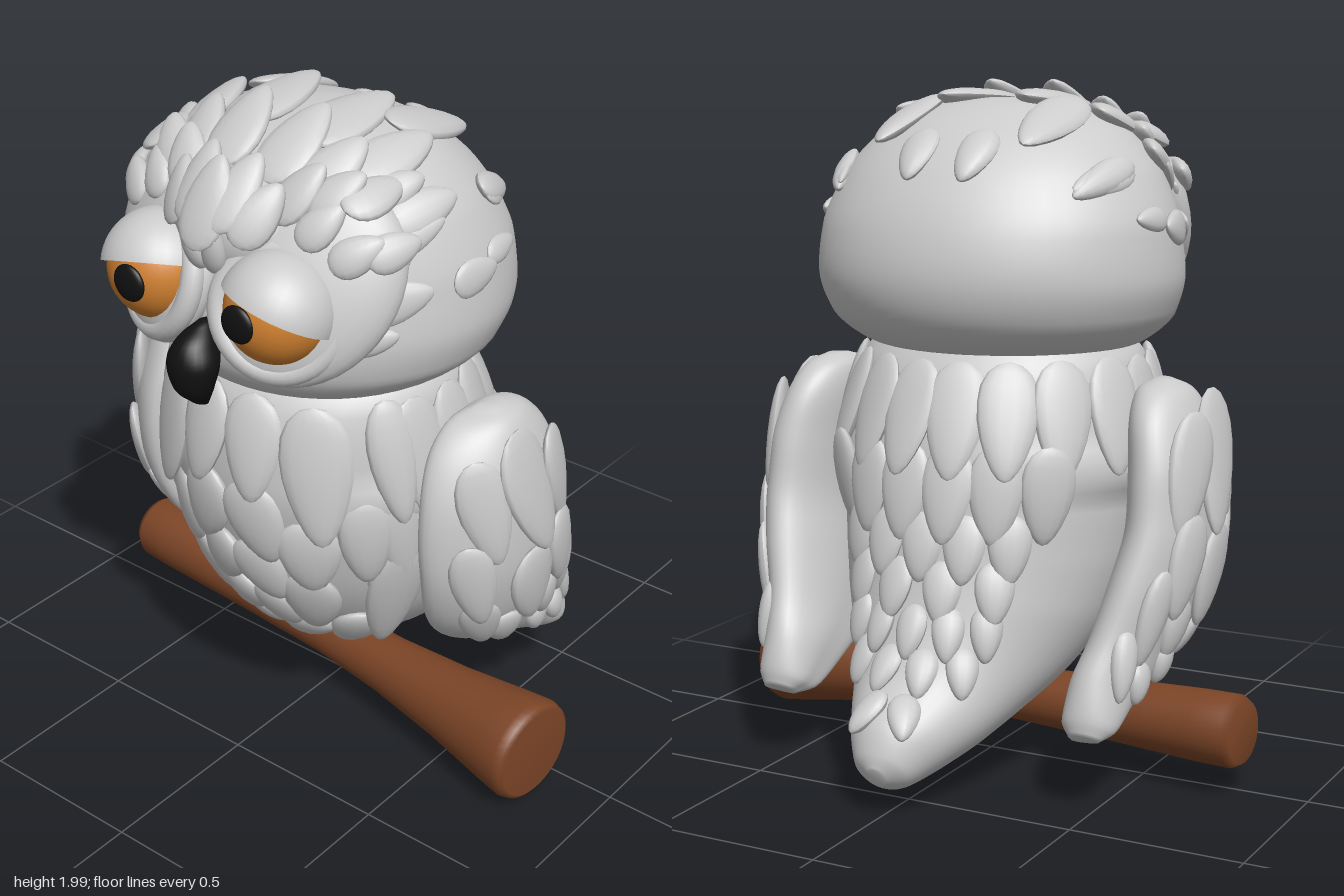
import * as THREE from 'three';

const grey = new THREE.MeshStandardMaterial({ color: 0xcccccc });
const brown = new THREE.MeshStandardMaterial({ color: 0x7c4527 });
const orange = new THREE.MeshStandardMaterial({ color: 0xd08030 });
const black = new THREE.MeshStandardMaterial({ color: 0x111111 });
const V = (x, y, z) => new THREE.Vector3(x, y, z);

function part(name, geometry, material, parent) {
  const mesh = new THREE.Mesh(geometry, material);
  mesh.name = name;
  parent.add(mesh);
  return mesh;
}

// Smooth skin through tilted oval sections, listed from top to bottom:
// [front z, front y, back z, back y, centre x, half width]; bend curls the front edge sideways
function loft(sections, steps = 40, sides = 40, bend = 0) {
  const front = new THREE.CatmullRomCurve3(sections.map(s => V(0, s[1], s[0])));
  const back = new THREE.CatmullRomCurve3(sections.map(s => V(0, s[3], s[2])));
  const wide = new THREE.CatmullRomCurve3(sections.map(s => V(s[4], s[5], 0)));
  const pos = [], idx = [];
  for (let i = -1; i <= steps + 1; i++) {
    const t = THREE.MathUtils.clamp(i / steps, 0, 1);
    const k = i < 0 || i > steps ? 0 : 1; // end rings close to a point
    const f = front.getPoint(t), b = back.getPoint(t), w = wide.getPoint(t);
    for (let j = 0; j < sides; j++) {
      const a = j / sides * Math.PI * 2, c = Math.cos(a) * k / 2;
      pos.push(w.x + Math.sin(a) * w.y * k + bend * w.y * 4 * c * Math.max(c, 0),
        (f.y + b.y) / 2 + c * (f.y - b.y), (f.z + b.z) / 2 + c * (f.z - b.z));
    }
  }
  for (let i = 0; i < steps + 2; i++) for (let j = 0; j < sides; j++) {
    const a = i * sides + j, b = i * sides + (j + 1) % sides;
    idx.push(a, a + sides, b, b, a + sides, b + sides);
  }
  const g = new THREE.BufferGeometry();
  g.setAttribute('position', new THREE.Float32BufferAttribute(pos, 3));
  g.setIndex(idx);
  g.computeVertexNormals();
  return g;
}

// Teardrop feather, tip towards +y
const featherGeo = new THREE.SphereGeometry(1, 14, 10);
{
  const p = featherGeo.attributes.position;
  for (let i = 0; i < p.count; i++) p.setX(i, p.getX(i) * (1 - 0.3 * p.getY(i)));
  featherGeo.computeVertexNormals();
}

// Lay a feather where a ray meets the skin, tip following a direction
const ray = new THREE.Raycaster();
function feather(parent, skins, from, to, tip, hl, hw, lift = 0.08, thick = 0.028) {
  ray.set(from, to.clone().sub(from).normalize());
  const hit = ray.intersectObjects(skins, false)[0];
  if (!hit) return;
  const n = hit.face.normal.clone();
  const d = tip.clone().addScaledVector(n, -tip.dot(n)).normalize();
  const c = Math.cos(lift), s = Math.sin(lift);
  const dir = d.clone().multiplyScalar(c).addScaledVector(n, s);
  const up = n.clone().multiplyScalar(c).addScaledVector(d, -s);
  const m = part('feather', featherGeo, grey, parent);
  m.quaternion.setFromRotationMatrix(new THREE.Matrix4().makeBasis(dir.clone().cross(up), dir, up));
  m.position.copy(hit.point).addScaledVector(n, hl * s * 0.6);
  m.scale.set(hw, hl, thick);
}

export function createModel() {
  const owl = new THREE.Group();
  owl.name = 'owlOnBranch';

  // Branch, thicker at its left end
  const profile = [[0, -0.825], [0.09, -0.825], [0.105, -0.80], [0.104, -0.7], [0.09, -0.35], [0.08, 0],
    [0.09, 0.25], [0.115, 0.5], [0.148, 0.72], [0.157, 0.79], [0.15, 0.815], [0.135, 0.825], [0, 0.825]];
  const branch = part('branch', new THREE.LatheGeometry(profile.map(p => new THREE.Vector2(...p)), 40), brown, owl);
  branch.position.set(0, 0.18, 0.048);
  branch.quaternion.setFromUnitVectors(V(0, 1, 0), V(1.64, -0.03, 0.175).normalize());

  // Body running down into the tail
  const body = part('body', loft([
    [0.30, 1.33, -0.20, 1.33, 0, 0.30], [0.46, 1.22, -0.30, 1.20, 0, 0.42],
    [0.51, 1.00, -0.37, 1.02, 0, 0.455], [0.49, 0.80, -0.40, 0.85, 0, 0.455],
    [0.42, 0.58, -0.42, 0.70, 0, 0.43], [0.30, 0.40, -0.45, 0.58, 0, 0.385],
    [0.14, 0.27, -0.49, 0.47, 0, 0.32], [-0.10, 0.18, -0.54, 0.38, 0, 0.25],
    [-0.32, 0.115, -0.60, 0.32, 0, 0.19], [-0.50, 0.08, -0.66, 0.27, 0, 0.13],
    [-0.61, 0.075, -0.69, 0.20, 0, 0.08], [-0.665, 0.10, -0.695, 0.155, 0, 0.025]], 66), grey, owl);

  const bodyFeathers = new THREE.Group();
  bodyFeathers.name = 'bodyFeathers';
  owl.add(bodyFeathers);
  // Breast, from the front: [x, y, half length, half width, sideways lean of the tip]
  const breast = [[0.085, 1.08, 0.16, 0.085, 0], [0.26, 1.02, 0.21, 0.10, 0], [0.40, 1.05, 0.19, 0.07, 0],
    [0.09, 0.84, 0.14, 0.09, 0.25], [0.22, 0.74, 0.13, 0.09, 0], [0.35, 0.80, 0.15, 0.08, -0.1],
    [0.07, 0.65, 0.12, 0.08, 0.35], [0.35, 0.56, 0.22, 0.085, -0.3], [0.18, 0.54, 0.14, 0.085, -0.1],
    [0.06, 0.48, 0.10, 0.075, 0.2], [0.08, 0.37, 0.09, 0.08, -0.4], [0.21, 0.38, 0.12, 0.075, -0.5]];
  for (const s of [1, -1]) for (const [x, y, hl, hw, lean] of breast)
    feather(bodyFeathers, [body], V(s * x, y, 2), V(s * x, y, 0), V(s * lean, -1, -0.15), hl, hw, 0.05, 0.035);
  // Sides and back in rows: [y, count, half length, half width, middle angle, half spread]
  const rows = [[1.07, 8, 0.17, 0.085, Math.PI, 1.4], [0.87, 6, 0.14, 0.075, Math.PI, 0.85],
    [0.72, 5, 0.10, 0.06, Math.PI, 0.6], [0.60, 4, 0.09, 0.055, Math.PI, 0.5], [0.49, 5, 0.08, 0.045, Math.PI, 0.45],
    [0.39, 4, 0.075, 0.045, Math.PI, 0.32], [0.29, 2, 0.075, 0.045, Math.PI, 0.09]];
  for (const s of [1, -1])
    rows.push([1.04, 2, 0.19, 0.085, s * 1.3, 0.15], [0.78, 2, 0.17, 0.07, s * 1.2, 0.15], [0.60, 2, 0.16, 0.085, s * 1.25, 0.2]);
  for (const [y, n, hl, hw, mid, spread] of rows) for (let i = 0; i < n; i++) {
    const a = mid + spread * (2 * i / (n - 1) - 1);
    feather(bodyFeathers, [body], V(2 * Math.sin(a), y, 2 * Math.cos(a)), V(0, y, 0), V(0, -1, -0.15),
      hl, hw, 0.06 + (i % 2) * 0.04);
  }

  // Head
  const head = part('head', loft([
    [0.11, 1.945, 0.02, 1.945, 0, 0.04], [0.24, 1.925, -0.06, 1.925, 0, 0.20],
    [0.39, 1.86, -0.20, 1.86, 0, 0.36], [0.48, 1.75, -0.32, 1.75, 0, 0.465],
    [0.52, 1.60, -0.405, 1.60, 0, 0.53], [0.55, 1.45, -0.43, 1.45, 0, 0.545],
    [0.54, 1.33, -0.39, 1.33, 0, 0.51], [0.48, 1.25, -0.29, 1.25, 0, 0.41],
    [0.38, 1.225, -0.15, 1.225, 0, 0.28]], 48, 48), grey, owl);
  const skins = [head];
  const ball = (r) => new THREE.SphereGeometry(r, 32, 20);
  skins.push(part('forehead', ball(1).scale(0.2, 0.15, 0.14).translate(0, 1.71, 0.43), grey, owl));

  // Facial discs, eyes and heavy lids
  for (const s of [1, -1]) {
    const side = s > 0 ? 'left' : 'right';
    const discGeo = ball(1).scale(0.235, 0.295, 0.1);
    discGeo.rotateZ(-s * 0.6).rotateX(-0.38).rotateY(s * 0.42).translate(s * 0.24, 1.60, 0.43);
    skins.push(part(side + 'FacialDisc', discGeo, grey, owl));
    const ring = part(side + 'EyeRing', new THREE.TorusGeometry(0.165, 0.033, 14, 40), grey, owl);
    ring.position.set(s * 0.205, 1.545, 0.515);
    ring.rotation.set(-0.3, s * 0.35, 0);
    const eye = part(side + 'Eye', ball(0.145), orange, owl);
    eye.position.set(s * 0.208, 1.555, 0.52);
    const pupil = part(side + 'Pupil', ball(0.053), black, owl);
    pupil.position.set(s * 0.19, 1.56, 0.66);
    pupil.scale.z = 0.35;
    const lidMat = grey.clone();
    lidMat.side = THREE.DoubleSide;
    const lid = part(side + 'Eyelid', new THREE.SphereGeometry(0.162, 32, 14, 0, Math.PI * 2, 0, Math.PI / 2), lidMat, owl);
    lid.position.copy(eye.position);
    lid.rotation.set(-0.42, 0, -s * 0.22);
  }

  // Beak
  part('beak', loft([
    [0.60, 1.48, 0.56, 1.48, 0, 0.015], [0.67, 1.44, 0.55, 1.44, 0, 0.05],
    [0.695, 1.38, 0.56, 1.37, 0, 0.075], [0.68, 1.30, 0.58, 1.30, 0, 0.058],
    [0.63, 1.25, 0.59, 1.25, 0, 0.03]], 20, 24), black, owl);

  const headFeathers = new THREE.Group();
  headFeathers.name = 'headFeathers';
  owl.add(headFeathers);
  // Crown, from above: [x, z, half length, half width, lift]
  const crown = [[0.23, -0.08, 0.18, 0.075, 0.03], [0.41, -0.13, 0.12, 0.045, 0.03], [0.09, -0.27, 0.10, 0.055, 0.03],
    [0.12, 0.13, 0.18, 0.095, 0.04], [0.30, 0.17, 0.14, 0.075, 0.07], [0.09, 0.30, 0.14, 0.08, 0.22],
    [0.22, 0.31, 0.12, 0.07, 0.18], [0.42, 0.2, 0.11, 0.06, 0.1], [0.35, 0.31, 0.1, 0.06, 0.13],
    [0.44, 0.34, 0.08, 0.05, 0.12], [0.38, 0.41, 0.08, 0.05, 0.12], [0.28, 0.43, 0.08, 0.05, 0.12]];
  // Brow, from the front: [x, y, half length, half width, lift]
  const brow = [[0.035, 1.69, 0.075, 0.035, 0.12], [0.06, 1.83, 0.12, 0.065, 0.15], [0.13, 1.79, 0.1, 0.06, 0.15],
    [0.19, 1.83, 0.1, 0.06, 0.2], [0.28, 1.84, 0.09, 0.055, 0.2], [0.36, 1.83, 0.08, 0.05, 0.2],
    [0.42, 1.82, 0.08, 0.045, 0.2], [0.455, 1.77, 0.07, 0.045, 0.2]];
  // Head sides: [z, y, half length, half width]
  const cheek = [[0.25, 1.73, 0.1, 0.045], [0.32, 1.57, 0.1, 0.055], [0.1, 1.59, 0.08, 0.05],
    [-0.03, 1.62, 0.07, 0.035], [0.38, 1.47, 0.07, 0.04], [-0.13, 1.73, 0.11, 0.045], [0.34, 1.66, 0.09, 0.05]];
  for (const s of [1, -1]) {
    for (const [x, z, hl, hw, lift] of crown)
      feather(headFeathers, skins, V(s * x, 3, z), V(s * x, 0, z), V(s * x * 0.5, 0.1, -1), hl, hw, lift);
    for (const [x, y, hl, hw, lift] of brow)
      feather(headFeathers, skins, V(s * x, y, 2), V(s * x, y, 0), V(s * x * 2.2, 0.7, -0.6), hl, hw, lift);
    for (const [z, y, hl, hw] of cheek)
      feather(headFeathers, [head], V(s * 2, y, z), V(0, y, z), V(0, 0.1, -1), hl, hw, 0.06, 0.02);
  }
  feather(headFeathers, skins, V(0, 1.80, 2), V(0, 1.80, 0), V(0, 1, -0.5), 0.13, 0.07, 0.15);

  // Folded wings; feathers as [z, y, half length, half width]
  const wingFeathers = [[0.18, 0.93, 0.17, 0.075], [0.03, 0.95, 0.21, 0.10], [-0.12, 0.93, 0.18, 0.08],
    [0.2, 0.70, 0.15, 0.065], [0.0, 0.63, 0.15, 0.085], [-0.15, 0.68, 0.15, 0.07], [0.13, 0.53, 0.12, 0.06],
    [-0.14, 0.5, 0.09, 0.05], [0.02, 0.46, 0.09, 0.055], [-0.25, 0.55, 0.14, 0.05], [-0.15, 0.4, 0.06, 0.04],
    [-0.27, 0.37, 0.06, 0.04], [-0.33, 0.43, 0.1, 0.04]];
  for (const s of [1, -1]) {
    const wing = new THREE.Group();
    wing.name = s > 0 ? 'leftWing' : 'rightWing';
    owl.add(wing);
    const shell = part('wingShell', loft([
      [0.05, 1.175, -0.02, 1.175, 0.54, 0.025], [0.15, 1.14, -0.10, 1.15, 0.545, 0.075],
      [0.23, 1.06, -0.17, 1.08, 0.56, 0.10], [0.28, 0.92, -0.22, 0.95, 0.585, 0.115],
      [0.28, 0.72, -0.25, 0.80, 0.59, 0.115], [0.21, 0.52, -0.30, 0.65, 0.565, 0.115],
      [0.07, 0.38, -0.35, 0.50, 0.525, 0.10], [-0.15, 0.28, -0.40, 0.40, 0.50, 0.09],
      [-0.30, 0.22, -0.43, 0.30, 0.495, 0.08], [-0.38, 0.215, -0.43, 0.25, 0.495, 0.045]]
      .map(r => [...r.slice(0, 4), s * r[4], r[5]]), 40, 40, -0.6 * s), grey, wing);
    for (const [z, y, hl, hw] of wingFeathers)
      feather(wing, [shell], V(s * 2, y, z), V(0, y, z), V(0, -1, -0.3), hl, hw, y > 0.9 ? -0.05 : 0.03);
  }
  return owl;
}
